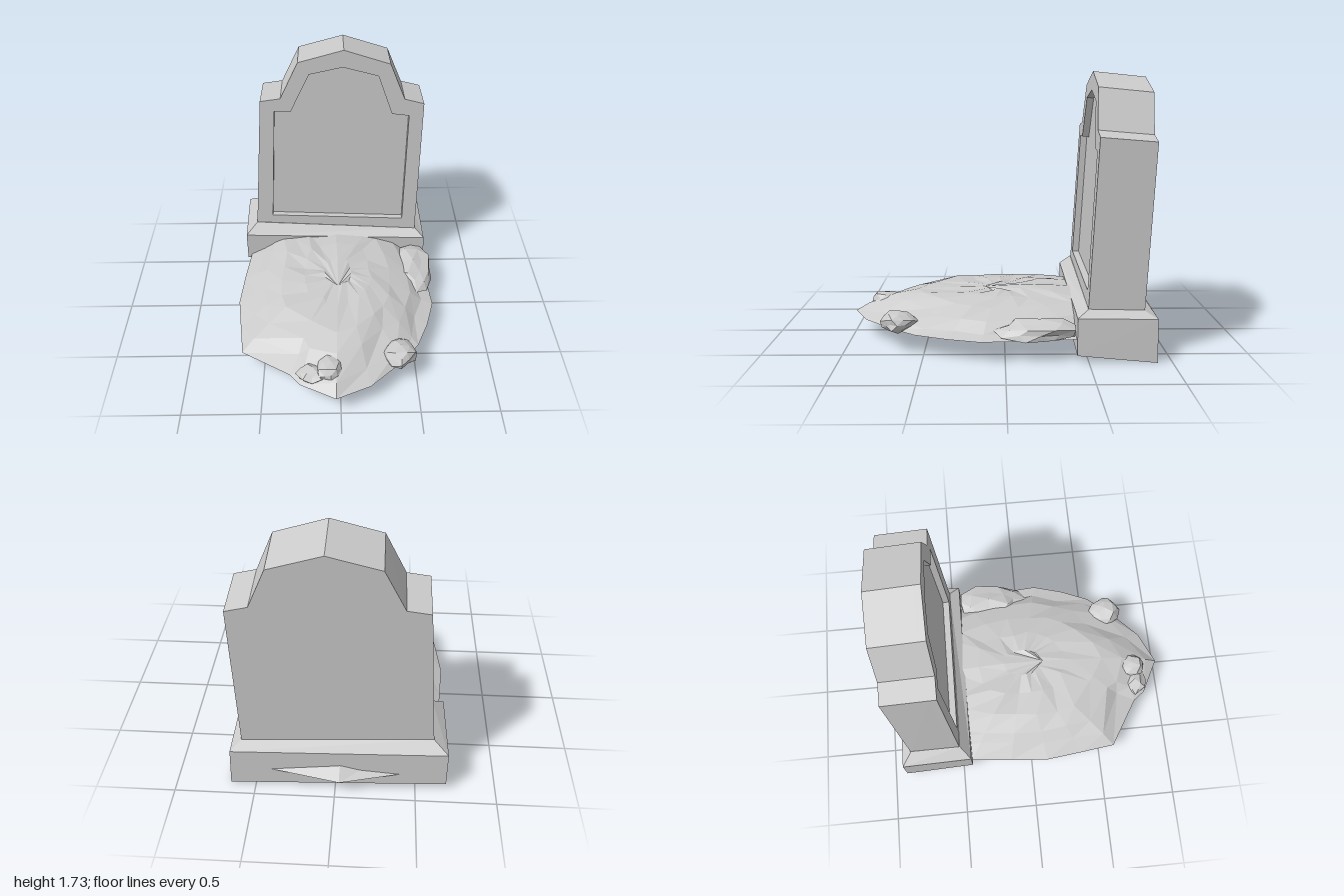
import * as THREE from 'three';

const stone = new THREE.MeshStandardMaterial({ color: 0xcccccc, flatShading: true, side: THREE.DoubleSide });

function addMesh(group, name, geometry) {
  const mesh = new THREE.Mesh(geometry, stone);
  mesh.name = name;
  group.add(mesh);
}

// Repeatable noise in -1..1 from a position
function noise(a, b, c) {
  const s = Math.sin(a * 12.99 + b * 78.23 + c * 37.72) * 43758.5453;
  return (s - Math.floor(s)) * 2 - 1;
}

// Skin closed rings of [x, y, z] points, first ring outermost / lowest
function loft(rings, capped) {
  const n = rings[0].length, index = [];
  for (let r = 0; r < rings.length - 1; r++) {
    for (let i = 0; i < n; i++) {
      const a = r * n + i, b = r * n + (i + 1) % n;
      index.push(a, b, b + n, a, b + n, a + n);
    }
  }
  if (capped) {
    const last = (rings.length - 1) * n;
    for (let i = 1; i < n - 1; i++) index.push(last, last + i, last + i + 1);
  }
  const g = new THREE.BufferGeometry();
  g.setAttribute('position', new THREE.Float32BufferAttribute(rings.flat(2), 3));
  g.setIndex(index);
  const flat = g.toNonIndexed();
  flat.computeVertexNormals();
  return flat;
}

const toPoints = (list) => list.map(([x, y]) => new THREE.Vector2(x, y));

const SLAB = [[-0.6, 0.38], [0.585, 0.31], [0.6, 1.34], [0.465, 1.375], [0.36, 1.63],
  [0.045, 1.73], [-0.265, 1.645], [-0.39, 1.385], [-0.53, 1.365]];
const PANEL = [[-0.48, 0.44], [0.485, 0.4], [0.5, 1.25], [0.38, 1.265], [0.28, 1.545],
  [0.04, 1.61], [-0.19, 1.56], [-0.32, 1.29], [-0.435, 1.29]];

// Extrude a layer of the slab, then lean it backwards
function slabLayer(hole, front, depth) {
  const shape = new THREE.Shape(toPoints(SLAB));
  if (hole) shape.holes.push(new THREE.Path(toPoints(hole)));
  const g = new THREE.ExtrudeGeometry(shape, { depth, bevelEnabled: false });
  const p = g.attributes.position;
  for (let i = 0; i < p.count; i++) {
    const y = p.getY(i), d = front + depth - p.getZ(i);
    p.setY(i, y - d * 0.06 * y);
    p.setZ(i, -0.5 - 0.05 * (y - 0.31) - d);
  }
  g.computeVertexNormals();
  return g;
}

// Mound: an irregular outline shrunk inwards and raised ring by ring
function moundGeometry() {
  const outline = [[-0.03, 1], [0.19, 0.9], [0.4, 0.7], [0.52, 0.55], [0.6, 0.36], [0.66, 0.15],
    [0.64, -0.15], [0.61, -0.45], [0.52, -0.8], [0.4, -0.91], [-0.03, -1], [-0.4, -0.91],
    [-0.56, -0.75], [-0.65, -0.43], [-0.68, -0.15], [-0.7, 0.11], [-0.67, 0.36], [-0.64, 0.6],
    [-0.32, 0.8], [-0.26, 0.88]];
  const levels = [[1, 0.13], [0.88, 0.19], [0.74, 0.245], [0.56, 0.285], [0.34, 0.3], [0.14, 0.305]];
  const rings = levels.map(([s, h], r) => outline.map(([x, z], i) => {
    const k = r ? s * (1 + 0.05 * noise(i, r, 1)) : s;
    const rightDip = r ? 0.06 * Math.max(0, x * s) : 0;
    return [x * k, h - rightDip + (r ? 0.01 * noise(i, r, 2) : 0), z * k];
  }));
  return loft(rings, true);
}

function rockGeometry([cx, cy, cz], [rx, ry, rz]) {
  const g = new THREE.IcosahedronGeometry(1, 1);
  const p = g.attributes.position;
  for (let i = 0; i < p.count; i++) {
    const q = [p.getX(i), p.getY(i), p.getZ(i)].map((v) => Math.round(v * 100) / 100 + 0);
    const k = 1 + 0.17 * noise(q[0] + cx, q[1], q[2] + cz);
    p.setXYZ(i, cx + q[0] * rx * k, Math.max(0.12, cy + q[1] * ry * k), cz + q[2] * rz * k);
  }
  g.computeVertexNormals();
  return g;
}

export function createModel() {
  const model = new THREE.Group();
  model.name = 'gravestone';

  // Tilted plinth, open underneath, with a sloped top edge
  addMesh(model, 'plinth', loft([
    [[-0.68, 0.1, -0.43], [0.66, 0.045, -0.43], [0.66, 0, -0.91], [-0.69, 0.06, -0.91]],
    [[-0.68, 0.31, -0.43], [0.65, 0.27, -0.43], [0.65, 0.265, -0.91], [-0.69, 0.305, -0.91]],
    [[-0.6, 0.38, -0.5], [0.59, 0.31, -0.5], [0.59, 0.3, -0.84], [-0.6, 0.37, -0.84]],
  ], true));

  // Leaning headstone: raised frame in front of a solid slab
  const headstone = new THREE.Group();
  headstone.name = 'headstone';
  addMesh(headstone, 'frame', slabLayer(PANEL, 0, 0.045));
  addMesh(headstone, 'slab', slabLayer(null, 0.045, 0.295));
  model.add(headstone);

  // Earth mound and half-buried rocks
  addMesh(model, 'mound', moundGeometry());
  [
    [[0.55, 0.17, -0.21], [0.14, 0.065, 0.25]],
    [[0.39, 0.18, 0.66], [0.11, 0.065, 0.11]],
    [[-0.06, 0.185, 0.8], [0.09, 0.065, 0.11]],
    [[-0.18, 0.16, 0.81], [0.1, 0.05, 0.08]],
  ].forEach(([c, r], i) => addMesh(model, `rock${i + 1}`, rockGeometry(c, r)));

  return model;
}
